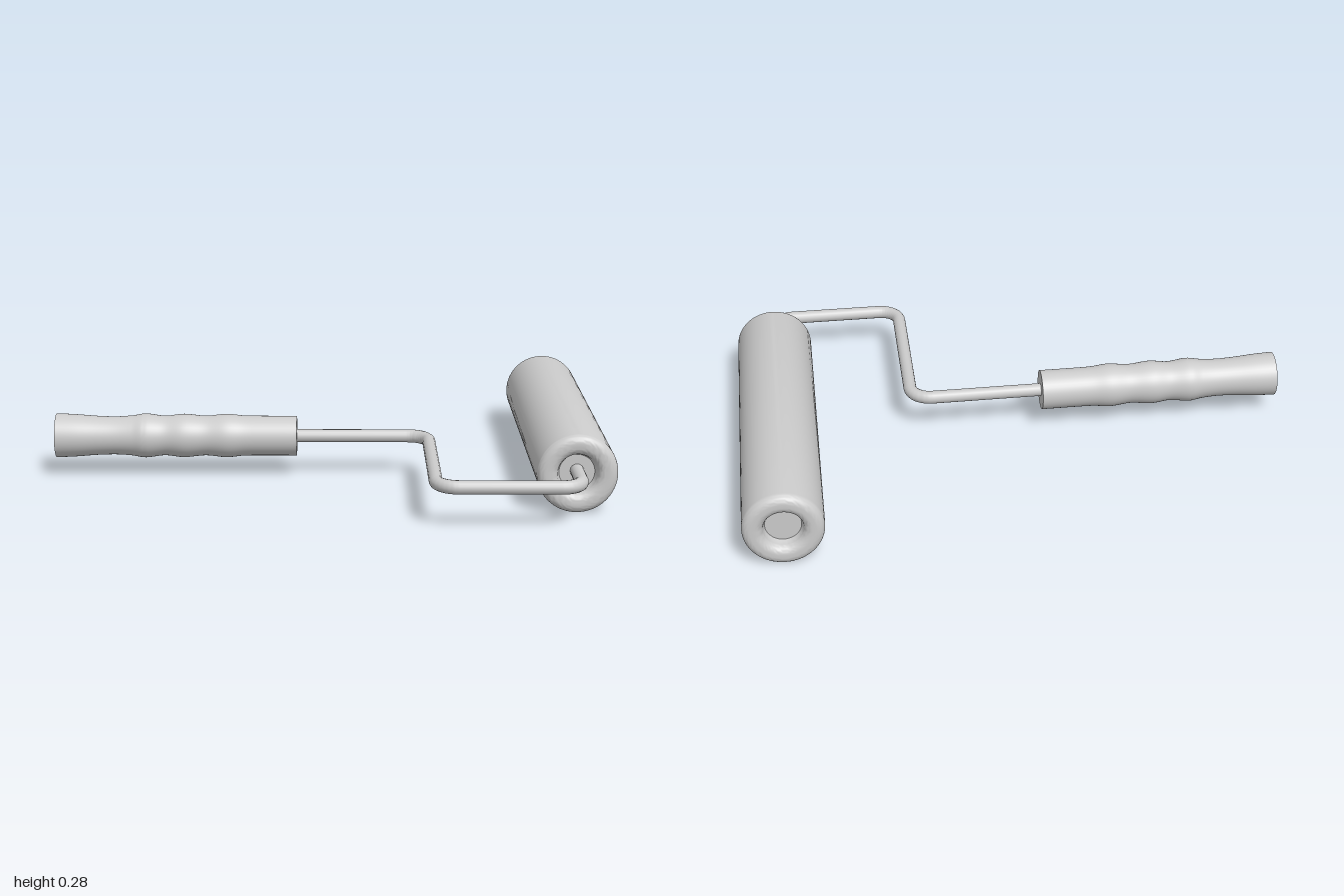
import * as THREE from 'three';
import { toCreasedNormals } from 'three/addons/utils/BufferGeometryUtils.js';

const AXIS_Y = 0.142;
const material = new THREE.MeshStandardMaterial({ color: 0xcccccc });

function addMesh(group, name, geometry) {
  const mesh = new THREE.Mesh(geometry, material);
  mesh.name = name;
  group.add(mesh);
  return mesh;
}

// Surface of revolution from [radius, position] pairs
function lathe(points, segments) {
  const geometry = new THREE.LatheGeometry(points.map(([r, a]) => new THREE.Vector2(r, a)), segments);
  return toCreasedNormals(geometry, 0.7);
}

// Handle: a waisted grip with three finger ridges
function handleGeometry() {
  const curve = new THREE.SplineCurve([
    [0.081, -1], [0.078, -0.93], [0.072, -0.85], [0.070, -0.78], [0.074, -0.72],
    [0.081, -0.67], [0.073, -0.60], [0.080, -0.53], [0.073, -0.45],
    [0.080, -0.375], [0.074, -0.31], [0.073, -0.24], [0.073, -0.115],
  ].map(([r, a]) => new THREE.Vector2(r, a)));
  const side = curve.getPoints(72).map((p) => [p.x, p.y]);
  return lathe([[0, -1], ...side, [0, -0.115]], 40).rotateZ(-Math.PI / 2);
}

// One roller end: from the recessed floor over a rounded rim to the outer wall
function rollerEnd(z, sign) {
  const points = [[0, z - sign * 0.045], [0.062, z - sign * 0.045]];
  const rim = (cx, r, from, to) => {
    for (let i = 0; i <= 8; i++) {
      const t = from + (to - from) * (i / 8);
      points.push([cx + r * Math.cos(t), z + sign * (r * Math.sin(t) - r)]);
    }
  };
  rim(0.098, 0.03, Math.PI, Math.PI / 2);
  rim(0.11, 0.03, Math.PI / 2, 0);
  return points;
}

function rollerGeometry() {
  const profile = [...rollerEnd(-0.72, -1), ...rollerEnd(0.53, 1).reverse()];
  return lathe(profile, 64).rotateX(Math.PI / 2);
}

// Wire frame: straight runs joined by rounded bends
function rodGeometry() {
  const corners = [[-0.16, 0.035], [0.367, 0.035], [0.367, 0.687], [0.86, 0.687], [0.86, 0.42]]
    .map(([x, z]) => new THREE.Vector3(x, 0, z));
  const bend = 0.075;
  const points = [corners[0]];
  for (let i = 1; i < corners.length - 1; i++) {
    const c = corners[i];
    const toward = (p) => c.clone().add(p.clone().sub(c).setLength(bend));
    const a = toward(corners[i - 1]);
    const b = toward(corners[i + 1]);
    const centre = a.clone().add(b).sub(c);
    for (let k = 0; k <= 8; k++) {
      const t = (k / 8) * Math.PI / 2;
      points.push(centre.clone()
        .addScaledVector(b.clone().sub(c), -Math.sin(t) + 0)
        .addScaledVector(a.clone().sub(c), -Math.cos(t))
        .add(new THREE.Vector3()));
    }
    // The arc is swept from the far run to the near run, so order it along the path
    const arc = points.splice(points.length - 9, 9);
    if (arc[0].distanceTo(a) > arc[8].distanceTo(a)) arc.reverse();
    points.push(...arc);
  }
  points.push(corners[corners.length - 1]);
  const path = new THREE.CurvePath();
  for (let i = 1; i < points.length; i++) path.add(new THREE.LineCurve3(points[i - 1], points[i]));
  return new THREE.TubeGeometry(path, 260, 0.024, 16);
}

export function createModel() {
  const group = new THREE.Group();
  group.name = 'paintRoller';
  addMesh(group, 'handle', handleGeometry()).position.set(0, AXIS_Y + 0.002, 0.034);
  addMesh(group, 'rod', rodGeometry()).position.y = AXIS_Y + 0.002;
  addMesh(group, 'rollerSleeve', rollerGeometry()).position.set(0.86, AXIS_Y - 0.002, 0);
  return group;
}
